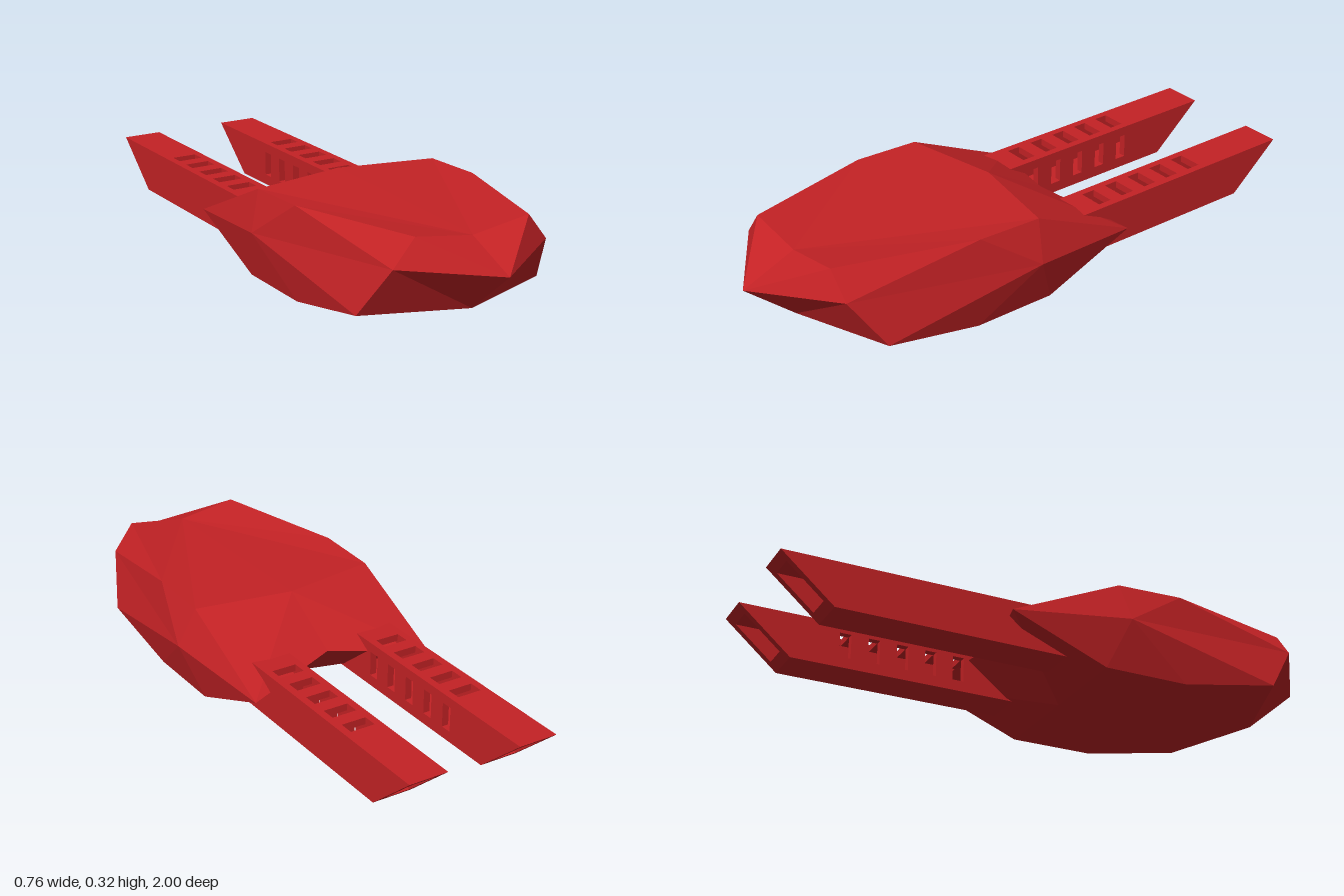
import * as THREE from 'three';

const red = new THREE.MeshStandardMaterial({ color: 0xc42225, flatShading: true });
const CENTRE = -0.007;

// Faceted hull: corner points of one half, mirrored across the centre line
function hull() {
  const p = {
    nose: [0, 0.214, 1], topC: [0, 0.29, 0.815], top: [0.205, 0.32, 0.815],
    cheek: [0.277, 0.23, 0.81], chinC: [0, 0.062, 0.82], chin: [0.333, 0.064, 0.7],
    deck: [0.333, 0.31, 0.35], rear: [0.333, 0.303, 0.12], rearC: [0, 0.306, 0.06],
    wide: [0.38, 0.17, 0.145], tail: [0.333, 0.132, -0.26], tailC: [0, 0.18, -0.16],
    keel1: [0.333, 0, 0.36], keel1C: [0, 0, 0.36], keel2: [0.333, 0, 0.07], keel2C: [0, 0, 0.07],
  };
  const faces = [
    // nose
    'nose top topC', 'nose cheek top', 'nose chinC cheek', 'chinC chin cheek',
    // deck and rear slope
    'topC top deck', 'topC deck rear', 'topC rear rearC', 'rearC rear tail', 'rearC tail tailC',
    // side
    'top cheek deck', 'cheek wide deck', 'cheek chin wide', 'chin keel1 wide',
    'keel1 keel2 wide', 'keel2 tail wide', 'tail rear wide', 'rear deck wide',
    // underside
    'chinC keel1C keel1', 'chinC keel1 chin', 'keel1C keel2C keel2', 'keel1C keel2 keel1',
    'keel2C tailC tail', 'keel2C tail keel2',
  ];
  const pos = [];
  for (const side of [1, -1]) {
    for (const face of faces) {
      const names = face.split(' ');
      if (side < 0) names.reverse();
      for (const n of names) {
        const [x, y, z] = p[n];
        pos.push(side * x + (n === 'wide' ? 0 : CENTRE), y, z);
      }
    }
  }
  const g = new THREE.BufferGeometry();
  g.setAttribute('position', new THREE.Float32BufferAttribute(pos, 3));
  g.computeVertexNormals();
  const mesh = new THREE.Mesh(g, red);
  mesh.name = 'hull';
  return mesh;
}

const W = 0.136, Y0 = 0.043, Y1 = 0.198, T = 0.024;
const BACK = -1, FRONT = 0.05;

function rect(path, u0, v0, u1, v1) {
  path.moveTo(u0, v0);
  path.lineTo(u1, v0);
  path.lineTo(u1, v1);
  path.lineTo(u0, v1);
  path.closePath();
  return path;
}

// Flat wall running along z, with an optional row of five slots
function wall(v0, v1, slot) {
  const shape = rect(new THREE.Shape(), BACK, v0, FRONT, v1);
  if (slot) {
    for (let i = 0; i < 5; i++) {
      const z = -0.237 - i * 0.1, h = slot.width / 2;
      shape.holes.push(rect(new THREE.Path(), z - h, slot.v0, z + h, slot.v1));
    }
  }
  return new THREE.ExtrudeGeometry(shape, { depth: T, bevelEnabled: false }).rotateY(-Math.PI / 2);
}

// Cut the open end at a slant
function slantEnd(g) {
  const a = g.attributes.position;
  for (let i = 0; i < a.count; i++) {
    if (a.getZ(i) < -0.9) a.setZ(i, BACK + (Y1 - a.getY(i)) * 1.16);
  }
  g.computeVertexNormals();
  return g;
}

// Hollow square prong, slotted on its top and inner walls
function prong(side) {
  const group = new THREE.Group();
  group.name = side > 0 ? 'leftProng' : 'rightProng';
  const half = W / 2;
  const sideSlot = { v0: 0.08, v1: 0.165, width: 0.04 };
  const topSlot = { v0: -0.046, v1: 0.046, width: 0.05 };
  const flat = (slot) => wall(-half + T, half - T, slot).rotateZ(-Math.PI / 2);
  const topFlat = flat({ ...topSlot, v0: -0.043, v1: 0.043 });
  const parts = {
    innerWall: wall(Y0, Y1, sideSlot).translate(side > 0 ? -half + T : half, 0, 0),
    outerWall: wall(Y0, Y1).translate(side > 0 ? half : -half + T, 0, 0),
    topWall: topFlat.translate(0, Y1 - T, 0),
    bottomWall: flat().translate(0, Y0, 0),
  };
  for (const [name, g] of Object.entries(parts)) {
    const mesh = new THREE.Mesh(slantEnd(g), red);
    mesh.name = name;
    group.add(mesh);
  }
  group.position.x = side * 0.199 + CENTRE;
  return group;
}

export function createModel() {
  const model = new THREE.Group();
  model.name = 'prongedHull';
  model.add(hull(), prong(1), prong(-1));
  return model;
}
